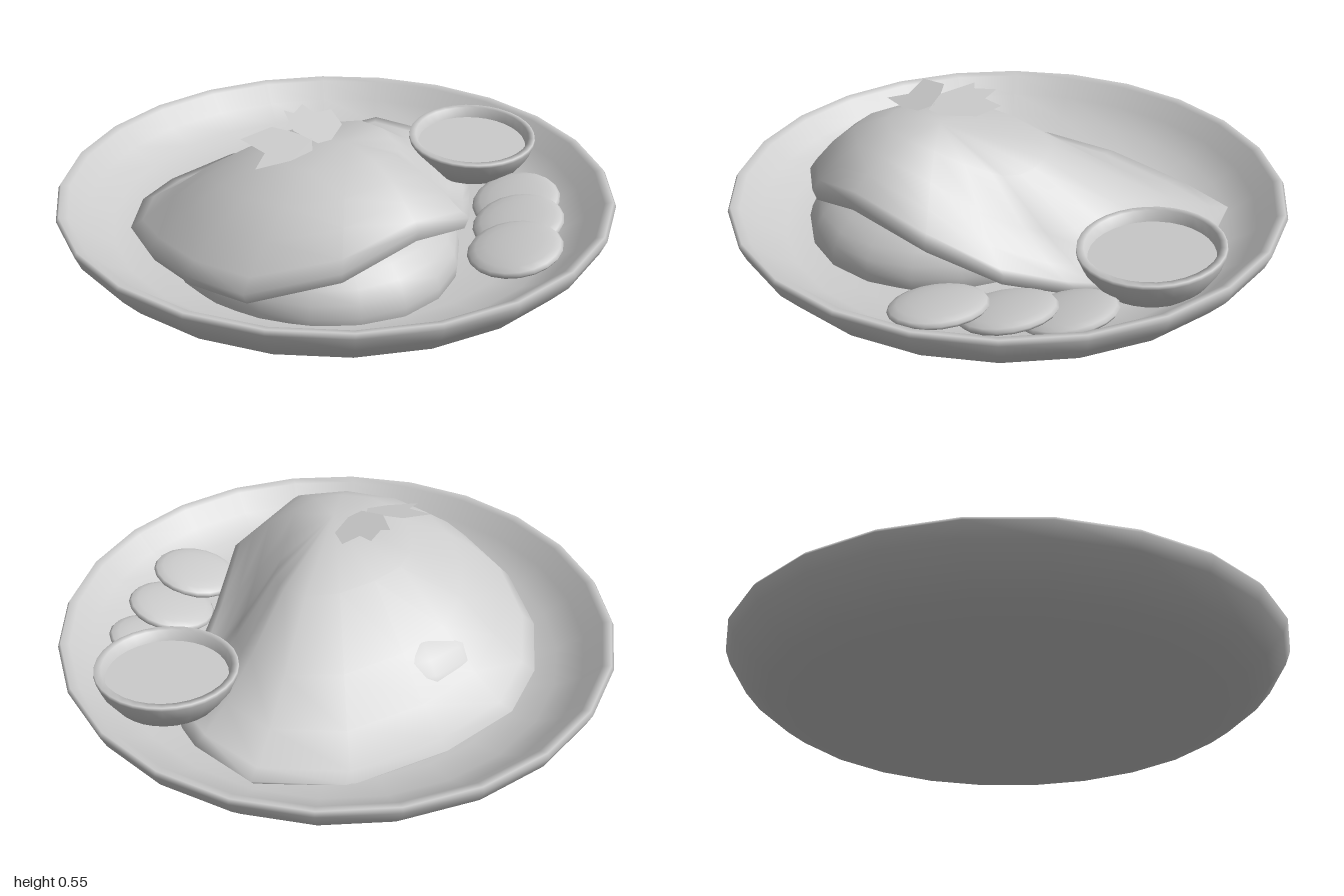
import * as THREE from 'three';

const grey = new THREE.MeshStandardMaterial({ color: 0xcccccc });
const greyThin = new THREE.MeshStandardMaterial({ color: 0xcccccc, side: THREE.DoubleSide });
const UP = new THREE.Vector3(0, 1, 0);

function add(parent, name, geometry, material = grey) {
  const mesh = new THREE.Mesh(geometry, material);
  mesh.name = name;
  parent.add(mesh);
  return mesh;
}

function lathe(points, sides) {
  return new THREE.LatheGeometry(points.map(([r, y]) => new THREE.Vector2(r, y)), sides);
}

// Leans an object so that its up axis points along (x, 1, z)
function lean(object, x, z) {
  object.quaternion.setFromUnitVectors(UP, new THREE.Vector3(x, 1, z).normalize());
}

// Draped sheet: rings run from the peak to an outline of [x, y, z, power, sag].
// Sag 0 gives a rounded fall, sag 1 an S-shaped fall that flattens at the hem.
function drapeGeometry(peak, outline) {
  const steps = [0.38, 0.63, 0.8, 0.94, 1];
  const n = outline.length;
  const positions = [...peak];
  const index = [];
  const [px, py, pz] = peak;
  for (const t of steps) {
    for (const [x, y, z, power, sag] of outline) {
      const s = t ** power;
      const h = (1 - sag) * (1 - s) + sag * (1 + Math.cos(Math.PI * s)) / 2;
      positions.push(px + (x - px) * t, y + (py - y) * h, pz + (z - pz) * t);
    }
  }
  // Turned-under hem
  for (const [x, y, z] of outline) {
    positions.push(px + (x - px) * 0.97, y - 0.04, pz + (z - pz) * 0.97);
  }
  for (let i = 0; i < n; i++) {
    const j = (i + 1) % n;
    index.push(0, 1 + j, 1 + i);
    for (let r = 0; r < steps.length; r++) {
      const a = 1 + r * n + i, b = 1 + r * n + j;
      index.push(a, b, a + n, b, b + n, a + n);
    }
  }
  const geometry = new THREE.BufferGeometry();
  geometry.setAttribute('position', new THREE.Float32BufferAttribute(positions, 3));
  geometry.setIndex(index);
  geometry.computeVertexNormals();
  return geometry;
}

// Flat leaf drawn in plan as [x, z] and lifted by a height rule
function leafGeometry(points, height) {
  const geometry = new THREE.ShapeGeometry(
    new THREE.Shape(points.map(([x, z]) => new THREE.Vector2(x, -z))));
  const p = geometry.attributes.position;
  for (let i = 0; i < p.count; i++) {
    const x = p.getX(i), z = -p.getY(i);
    p.setXYZ(i, x, height(x, z), z);
  }
  geometry.computeVertexNormals();
  return geometry;
}

export function createModel() {
  const model = new THREE.Group();
  model.name = 'plateOfFood';

  // Deep round plate
  add(model, 'plate', lathe([
    [0, 0], [0.5, 0.005], [0.69, 0.02], [0.84, 0.06], [0.92, 0.115], [0.98, 0.185],
    [1, 0.235], [0.99, 0.25], [0.96, 0.24], [0.9, 0.175],
    [0.81, 0.115], [0.69, 0.08], [0.5, 0.06], [0, 0.05],
  ], 24));

  // Domed rice mound showing under the front of the cover
  const rice = add(model, 'riceMound',
    new THREE.SphereGeometry(1, 20, 10, 0, Math.PI * 2, 0, Math.PI / 2 + 0.12));
  rice.scale.set(0.5, 0.25, 0.57);
  rice.position.set(-0.17, 0.1, 0.1);

  // Thin cover draped over the rice, lifted at the front
  add(model, 'cover', drapeGeometry([-0.1, 0.505, 0.23], [
    [-0.08, 0.09, -0.67, 1.27, 1], [0.28, 0.09, -0.67, 1.2, 1], [0.58, 0.14, -0.56, 1.1, 1],
    [0.68, 0.14, -0.33, 1.05, 1], [0.68, 0.11, -0.2, 1, 1], [0.66, 0.09, -0.05, 1, 1],
    [0.58, 0.08, 0.08, 1.02, 1], [0.5, 0.09, 0.17, 1.08, 1], [0.35, 0.14, 0.35, 1.3, 0.7],
    [0.18, 0.27, 0.54, 2, 0.2], [-0.1, 0.35, 0.63, 2.6, 0], [-0.37, 0.27, 0.6, 2.8, 0],
    [-0.63, 0.2, 0.44, 2.7, 0], [-0.73, 0.2, 0.24, 2.5, 0], [-0.75, 0.18, 0, 2.3, 0],
    [-0.7, 0.13, -0.26, 1.9, 0.2], [-0.56, 0.11, -0.47, 1.6, 0.5], [-0.38, 0.09, -0.6, 1.4, 0.8],
  ]), greyThin);

  // Sauce bowl leaning on the cover
  const bowl = new THREE.Group();
  bowl.name = 'sauceBowl';
  bowl.position.set(0.67, 0.085, -0.03);
  lean(bowl, -0.06, 0.06);
  add(bowl, 'bowlShell', lathe([
    [0, 0], [0.12, 0.004], [0.19, 0.045], [0.232, 0.105], [0.248, 0.15],
    [0.246, 0.162], [0.222, 0.162], [0.212, 0.12], [0.18, 0.07], [0, 0.05],
  ], 32));
  const sauce = add(bowl, 'sauce', new THREE.CircleGeometry(0.212, 32));
  sauce.rotation.x = -Math.PI / 2;
  sauce.position.y = 0.122;
  model.add(bowl);

  // Row of slices, each lapping over the next
  [[0.61, 0.11, 0.31], [0.485, 0.125, 0.46], [0.33, 0.14, 0.615]].forEach(([x, y, z], i) => {
    const slice = add(model, `slice${i + 1}`, new THREE.SphereGeometry(1, 20, 10));
    slice.scale.set(0.165, 0.035, 0.165);
    slice.position.set(x, y, z);
    const r = Math.hypot(x, z);
    lean(slice, -0.2 * x / r - 0.11, -0.2 * z / r + 0.1);
  });

  // Two garnish leaves at the top
  const garnish = new THREE.Group();
  garnish.name = 'garnish';
  add(garnish, 'rightLeaf', leafGeometry([
    [-0.41, 0.05], [-0.29, 0.05], [-0.245, 0.105], [-0.205, 0.17], [-0.235, 0.22],
    [-0.32, 0.225], [-0.44, 0.2], [-0.375, 0.15], [-0.41, 0.05],
  ].slice(0, -1), (x, z) => 0.512 + 0.13 * (x + 0.2) - 0.25 * (z - 0.2)), greyThin);
  add(garnish, 'leftLeaf', leafGeometry([
    [-0.2, 0.2], [-0.24, 0.11], [-0.2, -0.02], [-0.175, 0.005], [-0.11, -0.045],
    [-0.1, 0.02], [-0.025, 0.01], [-0.045, 0.11], [-0.14, 0.19],
  ], (x, z) => 0.512 - 0.12 * (x + 0.2) - 0.18 * (z - 0.2)), greyThin);
  model.add(garnish);

  return model;
}
